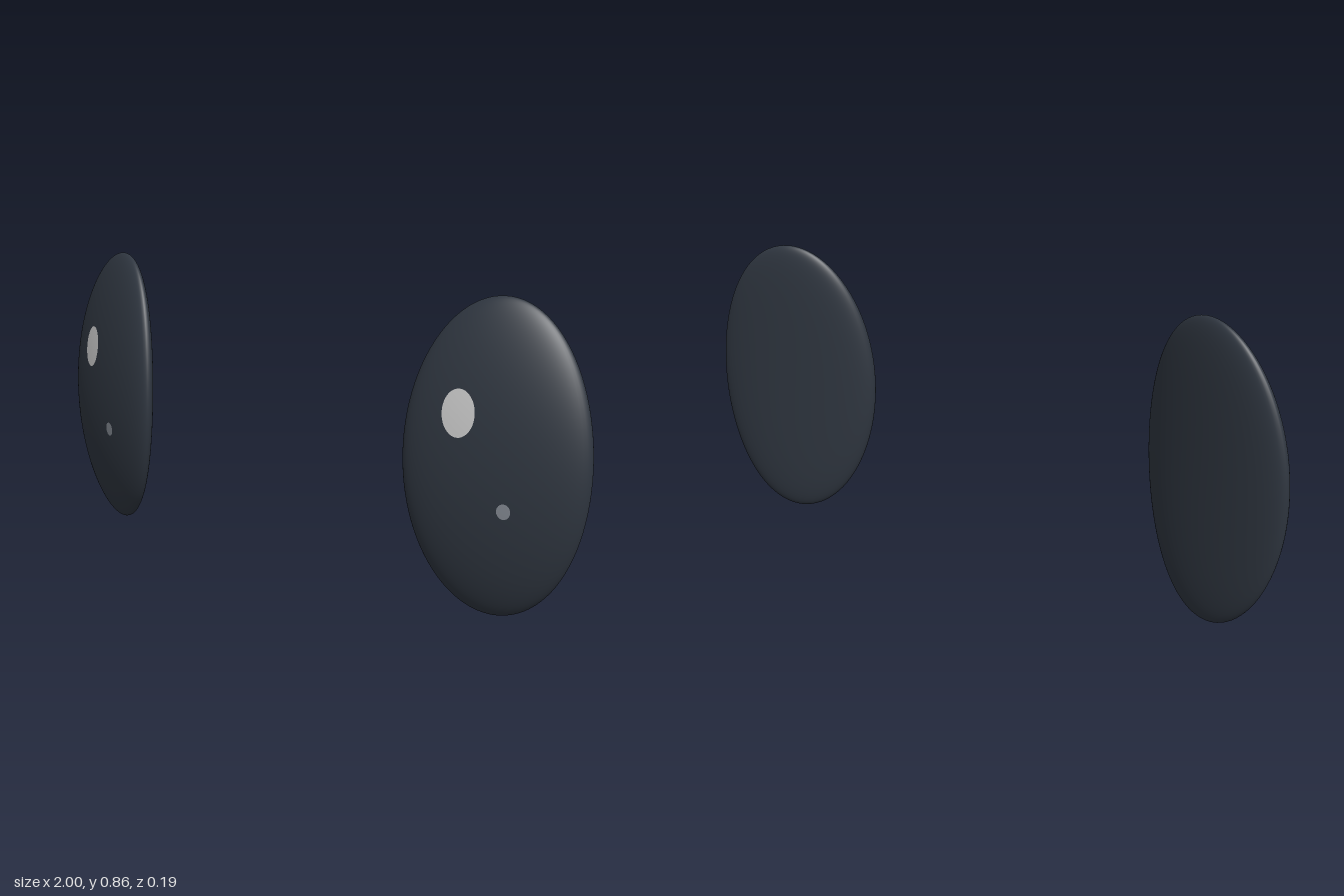
import * as THREE from 'three';
import { mergeVertices } from 'three/addons/utils/BufferGeometryUtils.js';

const A = 0.261, B = 0.43, C = 0.059; // half width, half height, half thickness
const YAW = 0.297;

// Bows the lens backwards towards its top and bottom and leans the top back.
const bow = (y) => 0.004 - 0.034 * (y / B) ** 2 - 0.0135 * (y / B);

// Moves each vertex by a rule, then rebuilds seamless smooth normals.
function reshape(geometry, rule) {
  geometry.deleteAttribute('uv');
  geometry.deleteAttribute('normal');
  const p = geometry.attributes.position;
  const v = new THREE.Vector3();
  for (let i = 0; i < p.count; i++) {
    rule(v.fromBufferAttribute(p, i));
    p.setXYZ(i, v.x, v.y, v.z);
  }
  const merged = mergeVertices(geometry, 1e-5);
  merged.computeVertexNormals();
  return merged;
}

// Flattened oval lens with a domed front and a nearly flat back.
function lensGeometry() {
  return reshape(new THREE.SphereGeometry(1, 64, 48), (v) => {
    v.set(v.x * A, v.y * B, v.z * C + bow(v.y * B));
  });
}

// Oval patch lying just above the front of the lens.
function glintGeometry(cx, cy, rx, ry) {
  return reshape(new THREE.RingGeometry(0.001, 1, 40, 6), (v) => {
    const x = cx + v.x * rx, y = cy + v.y * ry;
    const dome = Math.sqrt(Math.max(0, 1 - (x / A) ** 2 - (y / B) ** 2));
    v.set(x, y, C * dome + bow(y) + 0.0015);
  });
}

export function createModel() {
  const model = new THREE.Group();
  model.name = 'eyes';
  const dark = new THREE.MeshStandardMaterial({ color: 0x2f3640 });
  const bright = new THREE.MeshStandardMaterial({ color: 0xdddddd, side: THREE.DoubleSide });
  const dim = new THREE.MeshStandardMaterial({ color: 0x858b94, side: THREE.DoubleSide });

  for (const side of [1, -1]) {
    const eye = new THREE.Group();
    eye.name = side > 0 ? 'leftEye' : 'rightEye';
    const add = (name, geometry, material) => {
      const mesh = new THREE.Mesh(geometry, material);
      mesh.name = name;
      eye.add(mesh);
    };
    // Glints sit on the same side of both eyes, so only the turn is compensated.
    const localX = (dx) => (dx - side * 0.017) / Math.cos(YAW);
    add('lens', lensGeometry(), dark);
    add('largeGlint', glintGeometry(localX(-0.07), 0.128, 0.047, 0.064), bright);
    add('smallGlint', glintGeometry(localX(0.058), -0.12, 0.019, 0.021), dim);

    eye.position.set(side * 0.75, B, 0);
    eye.rotation.y = side * YAW;
    model.add(eye);
  }
  return model;
}
